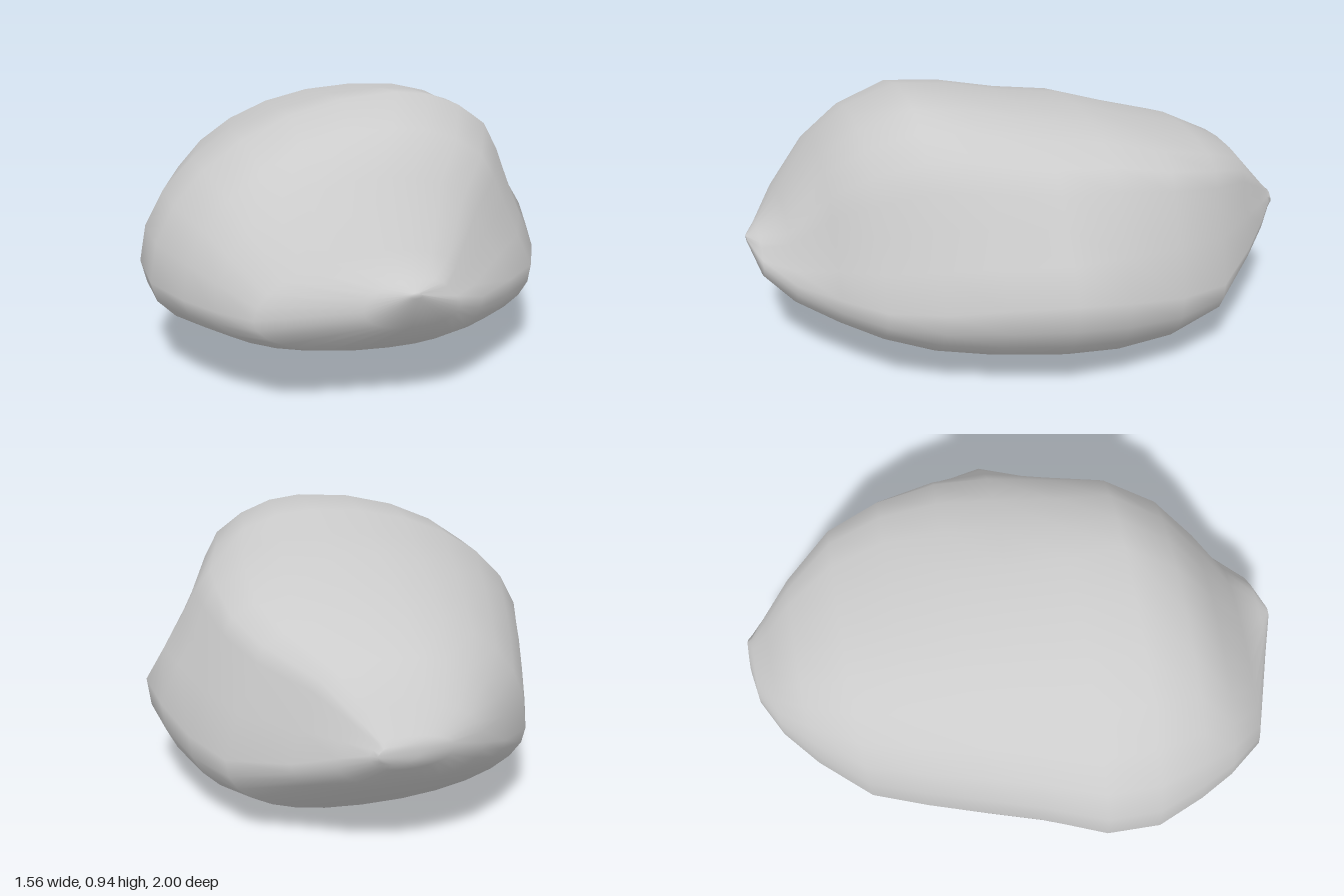
import * as THREE from 'three';

// Cross-sections from front to back: z, left x, right x, top y, bottom y, ridge y, crown x
const SECTIONS = [
  [1.0, -0.06, -0.02, 0.42, 0.40, 0.41, -0.04],
  [0.96, -0.2, 0.13, 0.45, 0.29, 0.36, -0.04],
  [0.86, -0.53, 0.25, 0.52, 0.19, 0.33, -0.08],
  [0.73, -0.63, 0.41, 0.73, 0.14, 0.33, -0.06],
  [0.6, -0.7, 0.55, 0.86, 0.11, 0.33, 0.02],
  [0.42, -0.775, 0.64, 0.945, 0.06, 0.34, 0.1],
  [0.22, -0.775, 0.71, 0.925, 0.025, 0.36, 0.1],
  [0.0, -0.69, 0.785, 0.885, 0.015, 0.38, 0.12],
  [-0.2, -0.62, 0.76, 0.865, 0.0, 0.35, 0.14],
  [-0.42, -0.54, 0.7, 0.8, 0.015, 0.31, 0.15],
  [-0.62, -0.46, 0.61, 0.75, 0.07, 0.29, 0.14],
  [-0.8, -0.31, 0.43, 0.66, 0.21, 0.33, 0.1],
  [-0.91, -0.19, 0.31, 0.54, 0.27, 0.38, 0.08],
  [-0.98, -0.06, 0.22, 0.46, 0.35, 0.41, 0.1],
  [-1.0, 0.06, 0.2, 0.44, 0.38, 0.41, 0.13],
];
const SIDES = 28;

// One point on a section: an uneven oval with a boxier back and a pinched left flank
function sectionPoint([z, xl, xr, yt, yb, ym, xc], t) {
  const c = Math.cos(t), s = Math.sin(t);
  const upper = s > 0, left = c > 0;
  const back = THREE.MathUtils.smoothstep(-z, -0.1, 0.5);
  const e = upper ? (left ? 1 - 0.3 * back : 1 - 0.1 * back) : (left ? 0.85 : 0.95);
  let px = Math.pow(Math.abs(c), e);
  const py = Math.pow(Math.abs(s), e);
  if (left && upper && t < 0.92) px *= 1 - 0.12 * Math.sin(3.4 * t);
  return [
    left ? xc + (xr - xc) * px : xc + (xl - xc) * px,
    upper ? ym + (yt - ym) * py : ym + (yb - ym) * py,
    z,
  ];
}

function createStoneGeometry() {
  const positions = [], index = [];
  for (const section of SECTIONS) {
    for (let j = 0; j < SIDES; j++) {
      positions.push(...sectionPoint(section, (j / SIDES) * Math.PI * 2));
    }
  }
  // Skin between neighbouring sections
  for (let i = 0; i < SECTIONS.length - 1; i++) {
    for (let j = 0; j < SIDES; j++) {
      const k = (j + 1) % SIDES;
      const a = i * SIDES + j, b = i * SIDES + k;
      const c = a + SIDES, d = b + SIDES;
      index.push(a, c, b, b, c, d);
    }
  }
  // Small end caps
  const last = (SECTIONS.length - 1) * SIDES;
  for (let j = 1; j < SIDES - 1; j++) {
    index.push(0, j, j + 1, last, last + j + 1, last + j);
  }
  const geometry = new THREE.BufferGeometry();
  geometry.setAttribute('position', new THREE.Float32BufferAttribute(positions, 3));
  geometry.setIndex(index);
  geometry.computeVertexNormals();
  return geometry;
}

export function createModel() {
  const group = new THREE.Group();
  group.name = 'boulder';
  const stone = new THREE.Mesh(
    createStoneGeometry(),
    new THREE.MeshStandardMaterial({ color: 0xcccccc })
  );
  stone.name = 'stone';
  group.add(stone);
  return group;
}
